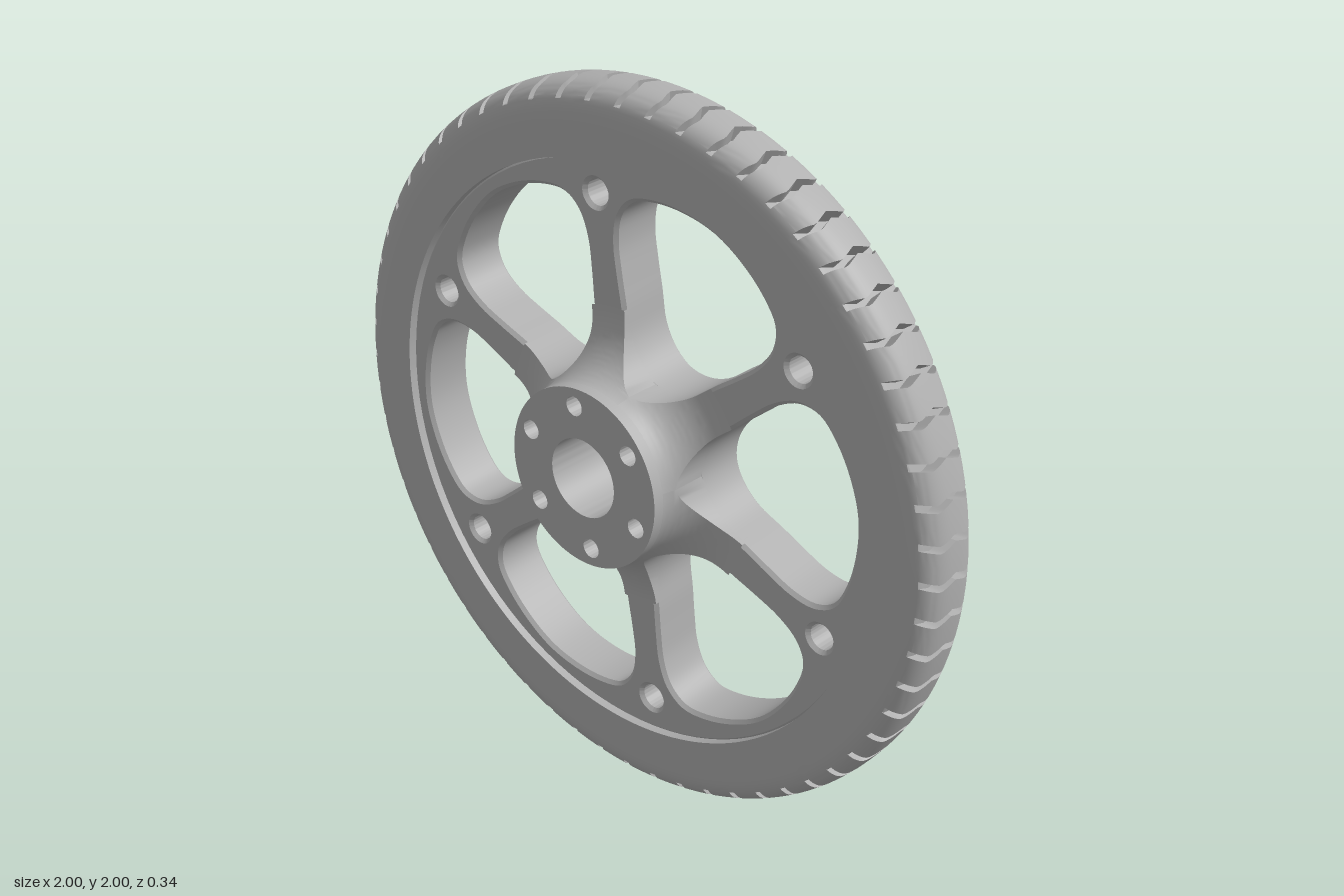
import * as THREE from 'three';
import { toCreasedNormals } from 'three/addons/utils/BufferGeometryUtils.js';

const DEG = Math.PI / 180;
const FACE_Z = 0.01, BACK_Z = -0.145;   // rim plate front and back
const HUB_R = 0.25, HUB_Z = 0.168;
const SPOKES = [0, 1, 2, 3, 4, 5].map((k) => (38 + 60 * k) * DEG);

// Surface from a grid of points; the normal is d/dj x d/di
function gridGeometry(rows, cols, fn) {
  const pos = [], index = [];
  for (let i = 0; i < rows; i++) for (let j = 0; j < cols; j++) pos.push(...fn(i, j));
  for (let i = 0; i < rows - 1; i++) {
    for (let j = 0; j < cols - 1; j++) {
      const a = i * cols + j, b = a + 1, c = b + cols, d = a + cols;
      index.push(a, b, c, a, c, d);
    }
  }
  const g = new THREE.BufferGeometry();
  g.setAttribute('position', new THREE.Float32BufferAttribute(pos, 3));
  g.setIndex(index);
  return toCreasedNormals(g, 0.6);
}

const polar = (r, a, z) => [r * Math.cos(a), r * Math.sin(a), z];

// Window outline around its own axis (u outward, v sideways)
const half = [[0.262, 0], [0.277, 0.06], [0.32, 0.115], [0.4, 0.165], [0.47, 0.21], [0.54, 0.25],
  [0.61, 0.268], [0.67, 0.25], [0.715, 0.19], [0.75, 0.1], [0.765, 0]];
const mirrored = half.slice(1, -1).reverse().map(([u, v]) => [u, -v]);
const outline = new THREE.CatmullRomCurve3(
  [...half, ...mirrored].map(([u, v]) => new THREE.Vector3(u, v, 0)), true).getPoints(80).slice(0, 80);

// Half angle of a spoke at radius r
function spokeHalfAngle(r) {
  const side = outline.slice(0, 41);
  for (let k = 1; k < side.length; k++) {
    const r0 = side[k - 1].length(), r1 = side[k].length();
    if (r >= r0 && r < r1) {
      const p = side[k - 1].clone().lerp(side[k], (r - r0) / (r1 - r0));
      return 30 * DEG - Math.atan2(p.y, p.x);
    }
  }
  return 30 * DEG;
}

function circle(x, y, r, Type = THREE.Path) {
  const p = new Type();
  p.absarc(x, y, r, 0, Math.PI * 2, false);
  return p;
}

// Centre bore and ring of small bolt holes
const hubHoles = () => [circle(0, 0, 0.11),
  ...SPOKES.map((a) => circle(0.2 * Math.cos(a), 0.2 * Math.sin(a), 0.027))];

// Tyre with zigzag grooves cut across the tread
function tyreGeometry() {
  const profile = [[0.81, -1]];
  for (let k = 0; k <= 28; k++) {
    const a = (k / 28 - 0.5) * Math.PI;
    const s = Math.sign(Math.sin(a)) * Math.abs(Math.sin(a)) ** 0.75;
    profile.push([0.91 + 0.09 * Math.max(0, Math.cos(a)) ** 0.75, s]);
  }
  profile.push([0.81, 1], [0.81, -1]);

  const count = 60, step = Math.PI * 2 / count, w = 0.02;
  const columns = [];
  for (let t = 0; t < count; t++) {
    const a = t * step;
    columns.push([a, 0], [a, 1], [a + w, 1], [a + w, 0], [a + (w + step) / 2, 0]);
  }
  columns.push([Math.PI * 2, 0]);

  return gridGeometry(profile.length, columns.length, (i, j) => {
    const [r, s] = profile[i], [a, deep] = columns[j];
    const zigzag = 0.009 * (4 * Math.abs(Math.abs(s) - 0.5) - 1);
    return polar(deep ? Math.min(r, 0.96) : r, a + zigzag, -0.07 + 0.1 * s);
  });
}

// Rim plate with six windows and bevelled edges
function rimGeometry() {
  const shape = circle(0, 0, 0.815, THREE.Shape);
  shape.holes.push(...hubHoles());
  for (const a of SPOKES) {
    shape.holes.push(circle(0.717 * Math.cos(a), 0.717 * Math.sin(a), 0.036));
    const c = Math.cos(a + 30 * DEG), s = Math.sin(a + 30 * DEG);
    shape.holes.push(new THREE.Path(outline.map((p) => new THREE.Vector2(p.x * c - p.y * s, p.x * s + p.y * c))));
  }
  const b = 0.01;
  const g = new THREE.ExtrudeGeometry(shape, {
    depth: FACE_Z - BACK_Z - 2 * b, curveSegments: 48,
    bevelEnabled: true, bevelSize: b, bevelThickness: b, bevelOffset: -b, bevelSegments: 1,
  });
  g.translate(0, 0, BACK_Z + b);
  return toCreasedNormals(g, 0.6);
}

// Hub flange in front of the rim plate
function hubGeometry() {
  const shape = circle(0, 0, HUB_R, THREE.Shape);
  shape.holes.push(...hubHoles());
  const g = new THREE.ExtrudeGeometry(shape, { depth: HUB_Z + 0.02, curveSegments: 48, bevelEnabled: false });
  g.translate(0, 0, -0.02);
  return toCreasedNormals(g, 0.6);
}

// Concave flare running from the hub onto one spoke
function flareGeometry() {
  const across = 12, along = 30, span = 0.17, height = 0.15 - FACE_Z;
  return gridGeometry(across + 3, along + 1, (i, j) => {
    const t = (j / along) ** 2;
    const r = HUB_R - 0.001 + span * t;
    const z = FACE_Z + 0.001 + height * (1 - Math.sqrt(1 - (1 - t) ** 2));
    const k = Math.min(Math.max(i - 1, 0), across);
    const wall = i === 0 || i === across + 2;
    return polar(r, spokeHalfAngle(r) * (2 * k / across - 1), wall ? -0.005 : z);
  });
}

export function createModel() {
  const model = new THREE.Group();
  model.name = 'wheel';
  const grey = new THREE.MeshStandardMaterial({ color: 0xb0b0b0 });
  grey.name = 'grey';

  const add = (name, geometry, turn = 0) => {
    const mesh = new THREE.Mesh(geometry, grey);
    mesh.name = name;
    mesh.position.y = 1;
    mesh.rotation.z = turn;
    model.add(mesh);
  };

  add('tyre', tyreGeometry());
  add('rimPlate', rimGeometry());
  add('hub', hubGeometry());
  const flare = flareGeometry();
  SPOKES.forEach((a, k) => add(`spokeFlare${k + 1}`, flare, a));
  return model;
}
